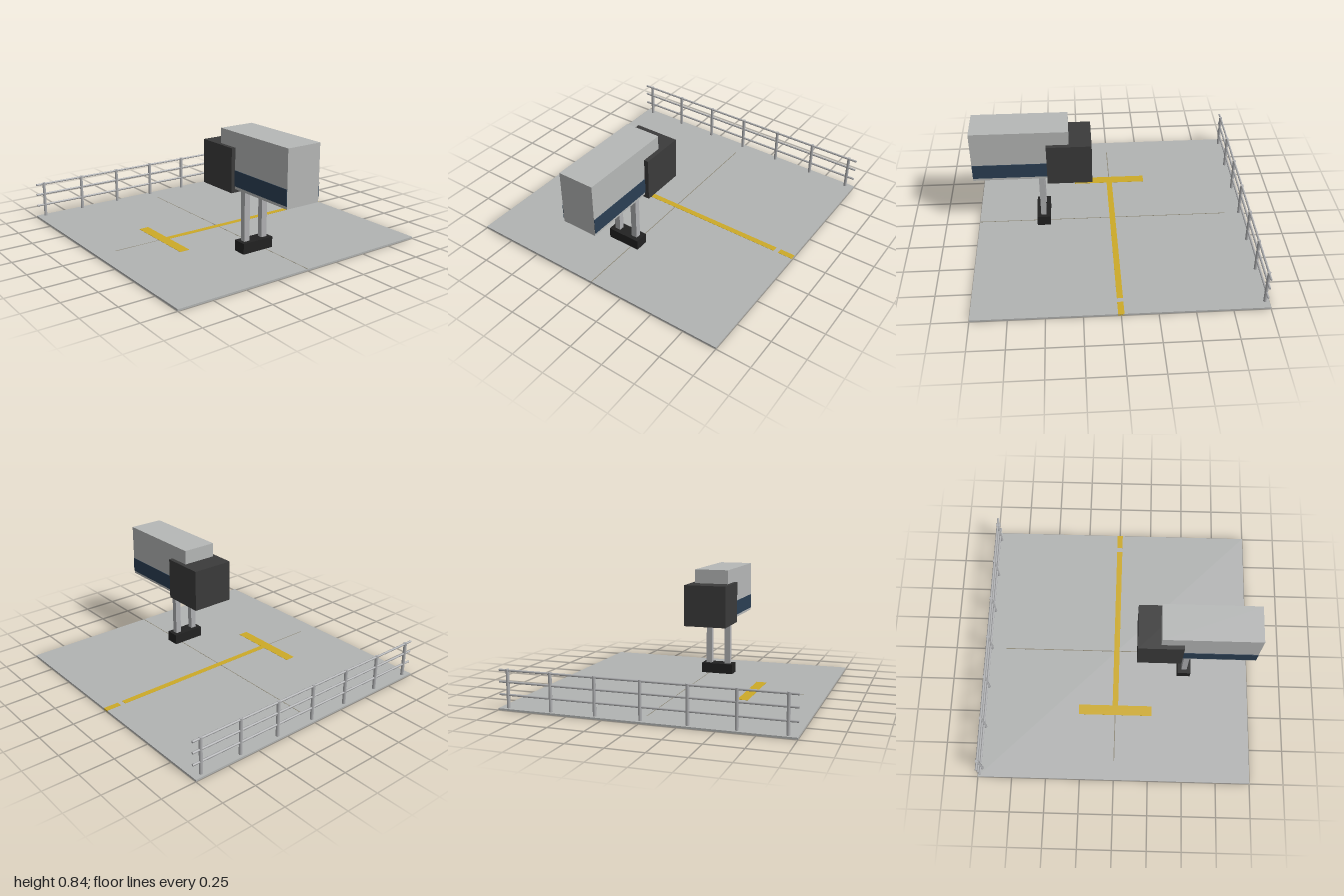
import * as THREE from 'three';

const mat = (name, color) => Object.assign(new THREE.MeshStandardMaterial({ color }), { name });

export function createModel() {
  const model = new THREE.Group();
  model.name = 'boardingBridgeStand';
  const concrete = mat('concrete grey', 0xb2b4b3);
  const panel = mat('panel grey', 0xb6b8b7);
  const steel = mat('steel grey', 0xb0b1b3);
  const hoodDark = mat('hood charcoal', 0x3b3b3b);
  const black = mat('footing black', 0x222222);
  const navy = mat('window navy', 0x2b3f54);
  const yellow = mat('marking yellow', 0xcdaa28);
  const seam = mat('seam brown grey', 0x8d8878);

  // Box given by its lower and upper limits on each axis
  const box = (name, material, [x0, x1], [y0, y1], [z0, z1], parent = model) => {
    const mesh = new THREE.Mesh(new THREE.BoxGeometry(x1 - x0, y1 - y0, z1 - z0), material);
    mesh.position.set((x0 + x1) / 2, (y0 + y1) / 2, (z0 + z1) / 2);
    mesh.name = name;
    parent.add(mesh);
    return mesh;
  };

  // Apron slab with thin joints
  box('apronSlab', concrete, [-1, 1], [0.001, 0.013], [-1, 1]);
  const joint = [0.0005, 0.0135];
  box('crossJoint', seam, [-0.86, 1], joint, [-0.003, 0.003]);
  box('lengthJoint', seam, [-0.003, 0.003], joint, [-0.85, 0.86]);

  // Painted stop marking, showing on both faces of the slab
  const paint = [0, 0.0145];
  box('leadInLine', yellow, [-0.021, 0.021], paint, [-0.855, 0.435]);
  box('leadInLineEnd', yellow, [-0.021, 0.021], paint, [-1, -0.89]);
  box('stopBar', yellow, [-0.275, 0.275], paint, [0.435, 0.51]);

  // Bridge tunnel with window bands and a hood at its free end
  const bridge = new THREE.Group();
  bridge.name = 'bridge';
  model.add(bridge);
  box('tunnel', panel, [0.31, 1], [0.455, 0.845], [-0.068, 0.193], bridge);
  for (const [name, z] of [['leftWindowBand', 0.194], ['rightWindowBand', -0.069]])
    box(name, navy, [0.32, 0.9995], [0.475, 0.585], [z - 0.003, z + 0.003], bridge);
  box('hood', hoodDark, [0.15, 0.47], [0.43, 0.74], [-0.1, 0.222], bridge);

  // Support legs on a footing
  box('footing', black, [0.465, 0.565], [0.013, 0.09], [-0.06, 0.188]);
  for (const z of [-0.01, 0.138])
    box('supportLeg', steel, [0.495, 0.535], [0.09, 0.456], [z - 0.022, z + 0.022]);

  // Fence along one edge
  const fence = new THREE.Group();
  fence.name = 'fence';
  fence.position.x = -0.97;
  model.add(fence);
  const postGeo = new THREE.CylinderGeometry(0.012, 0.012, 0.275, 8);
  for (let i = -3; i <= 3; i++) {
    const post = new THREE.Mesh(postGeo, steel);
    post.name = 'fencePost';
    post.position.set(0, 0.1385, i * 0.3125);
    fence.add(post);
  }
  const railGeo = new THREE.CylinderGeometry(0.008, 0.008, 2, 8).rotateX(Math.PI / 2);
  for (const y of [0.102, 0.188, 0.267]) {
    const rail = new THREE.Mesh(railGeo, steel);
    rail.name = 'fenceRail';
    rail.position.y = y;
    fence.add(rail);
  }
  return model;
}
